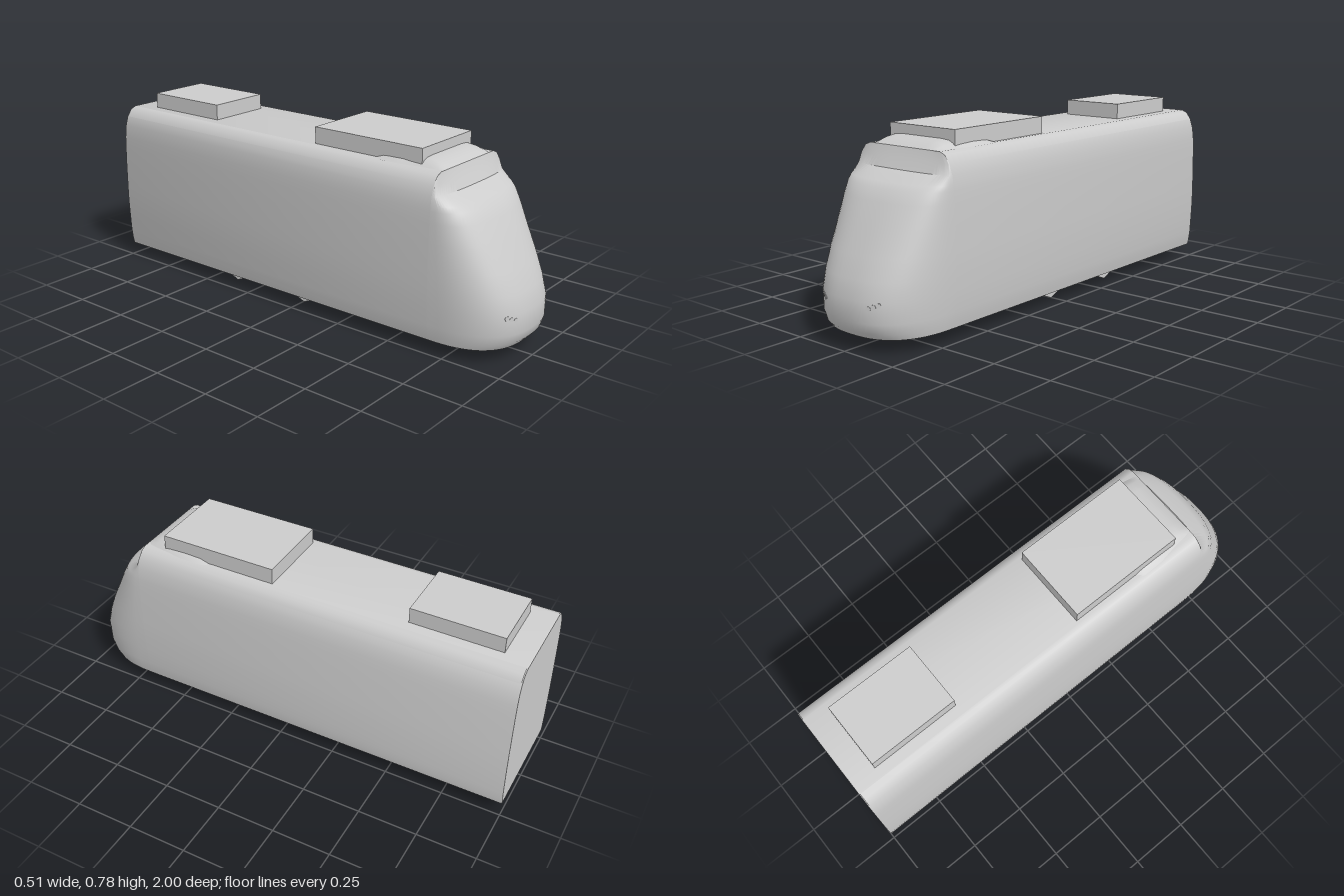
import * as THREE from 'three';
import { toCreasedNormals } from 'three/addons/utils/BufferGeometryUtils.js';

// Body levels from floor to roof: [height, half width, z of the nose centreline]
const LEVELS = [
  [0.055, 0.24, 0.963], [0.08, 0.245, 0.985], [0.12, 0.25, 0.998], [0.2, 0.254, 0.997],
  [0.27, 0.257, 0.975], [0.35, 0.257, 0.94], [0.45, 0.256, 0.887], [0.53, 0.254, 0.845],
  [0.575, 0.252, 0.815], [0.595, 0.25, 0.79], [0.63, 0.245, 0.718], [0.67, 0.232, 0.697],
  [0.7, 0.21, 0.684], [0.71, 0.185, 0.68],
];
const NOSE_Z = 0.68, BACK_Z = -1, ROOF = 0.71, ROUND = 2.6;

// Surface through rows of points, all rows of equal length
function sheet(rows, crease = 0.6) {
  const n = rows[0].length, index = [];
  for (let i = 0; i < rows.length - 1; i++) {
    for (let j = 0; j < n - 1; j++) {
      const a = i * n + j, b = a + 1, d = a + n, c = d + 1;
      index.push(a, b, c, a, c, d);
    }
  }
  const geo = new THREE.BufferGeometry();
  geo.setAttribute('position', new THREE.Float32BufferAttribute(rows.flat(2), 3));
  geo.setIndex(index);
  return toCreasedNormals(geo, crease);
}

// Constant cross-section from the back wall to the start of the nose
function bodyGeometry() {
  const right = LEVELS.map(([y, w]) => [w, y]);
  const left = LEVELS.map(([y, w]) => [-w, y]).reverse();
  const outline = [...right, ...left, right[0]];
  const ring = (z, inset = 0) => outline.map(([x, y]) => [x * (1 - inset), y + (0.38 - y) * inset, z]);
  const centre = (z) => outline.map(() => [0, 0.38, z]);
  return sheet([centre(BACK_Z), ring(BACK_Z, 0.008), ring(BACK_Z + 0.004), ring(NOSE_Z)]);
}

// Rounded plan curve at each level, closed underneath
function noseGeometry() {
  const steps = 36;
  const rows = LEVELS.map(([y, w, z]) => {
    const row = [];
    for (let i = 0; i <= steps; i++) {
      const t = (i / steps - 0.5) * Math.PI, s = Math.sin(t);
      const x = w * Math.sign(s) * Math.abs(s) ** (2 / ROUND);
      const depth = (z - NOSE_Z) * Math.max(0, Math.cos(t)) ** (2 / ROUND);
      row.push([x, y, NOSE_Z + depth]);
    }
    return row;
  });
  rows.unshift(rows[0].map(() => [0, LEVELS[0][0], NOSE_Z]));
  return sheet(rows);
}

// Low blister on the roof: [z, base half width, top half width, height]
function fairingGeometry() {
  const sections = [
    [0.37, 0.185, 0.15, 0], [0.41, 0.196, 0.15, 0.02], [0.5, 0.193, 0.14, 0.03],
    [0.59, 0.18, 0.14, 0.031], [0.63, 0.175, 0.14, 0.025], [0.66, 0.17, 0.14, 0.013], [0.68, 0.165, 0.14, 0],
  ];
  return sheet(sections.map(([z, base, top, h]) => [
    [base, 0], [(base + top) / 2, h * 0.6], [top, h * 0.9], [0.1, h],
    [-0.1, h], [-top, h * 0.9], [-(base + top) / 2, h * 0.6], [-base, 0],
  ].map(([x, y]) => [x, ROOF - 0.001 + y, z])));
}

export function createModel() {
  const model = new THREE.Group();
  model.name = 'railcar';
  const grey = new THREE.MeshStandardMaterial({ color: 0xcccccc });
  grey.name = 'light grey';

  function add(name, geometry, x = 0, y = 0, z = 0) {
    const mesh = new THREE.Mesh(geometry, grey);
    mesh.name = name;
    mesh.position.set(x, y, z);
    model.add(mesh);
    return mesh;
  }

  add('body', bodyGeometry());
  add('nose', noseGeometry());
  add('roofFairing', fairingGeometry());

  // Rooftop equipment boxes
  add('frontRoofUnit', new THREE.BoxGeometry(0.342, 0.07, 0.515), 0, 0.744, 0.328);
  add('rearRoofUnit', new THREE.BoxGeometry(0.28, 0.066, 0.385), 0, 0.743, -0.703);

  // Thin octagonal wheels, half hidden by the floor
  const wheel = new THREE.CylinderGeometry(0.059, 0.059, 0.02, 8).rotateZ(Math.PI / 2);
  for (const side of [-1, 1]) {
    for (const z of [0.003, -0.385]) add('wheel', wheel, side * 0.16, 0.059, z);
  }

  // Rows of three small hexagonal lamps following the nose curve
  const lamp = new THREE.CylinderGeometry(0.01, 0.01, 0.006, 6).rotateX(Math.PI / 2).rotateZ(Math.PI / 6);
  const noseZ = (x) => NOSE_Z + 0.317 * (1 - (x / 0.2535) ** ROUND) ** (1 / ROUND);
  for (const side of [-1, 1]) {
    [[0.113, 0.178], [0.131, 0.185], [0.148, 0.192]].forEach(([x, y]) => {
      const slope = (noseZ(x + 0.002) - noseZ(x - 0.002)) / 0.004;
      add('headlamp', lamp, side * x, y, noseZ(x) - 0.002).rotation.y = side * Math.atan(-slope);
    });
  }
  return model;
}
